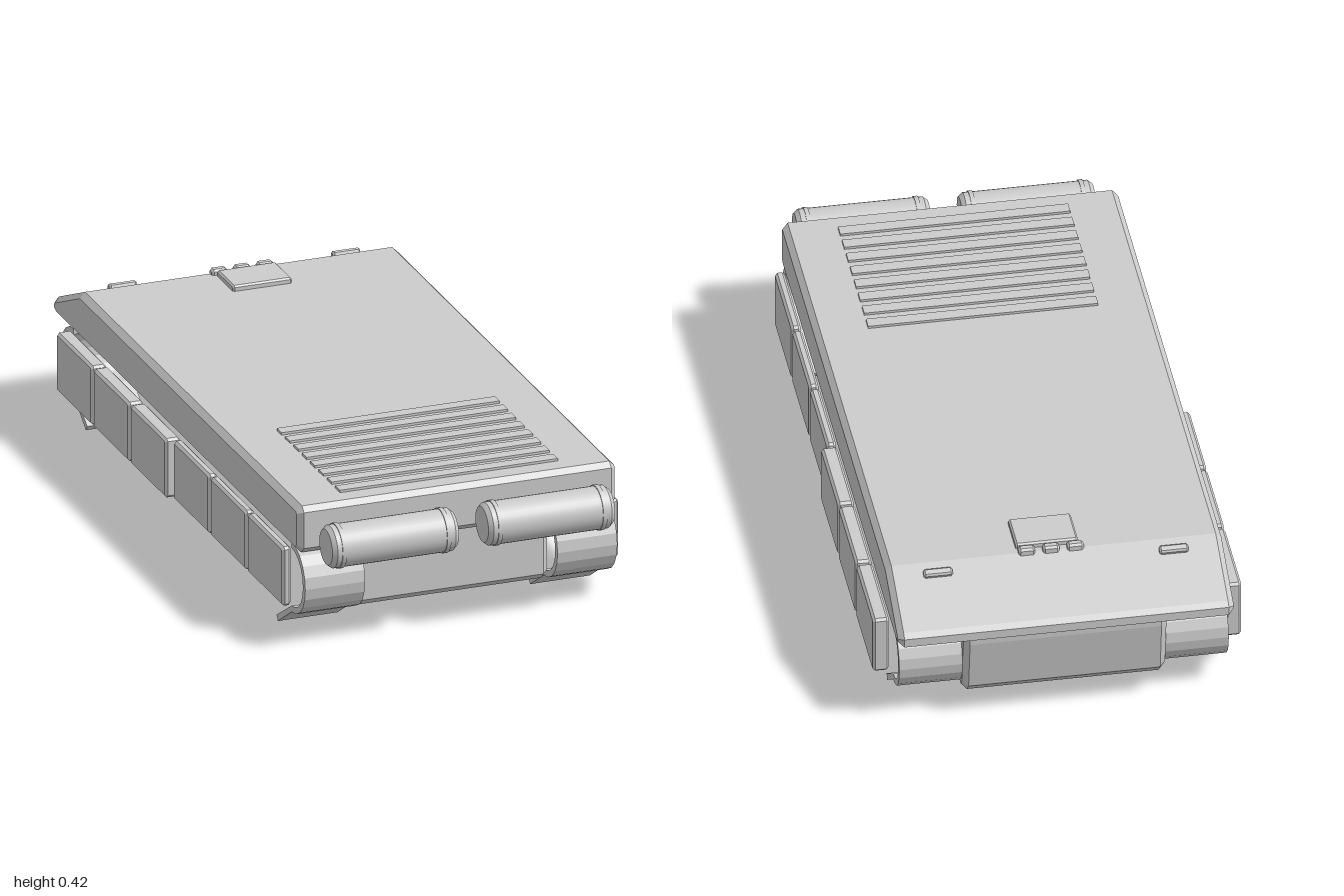
import * as THREE from 'three';

const material = new THREE.MeshStandardMaterial({ color: 0xcccccc, flatShading: true });
const smooth = new THREE.MeshStandardMaterial({ color: 0xcccccc });

function add(parent, name, geometry, x = 0, y = 0, z = 0, mat = material) {
  const mesh = new THREE.Mesh(geometry, mat);
  mesh.name = name;
  mesh.position.set(x, y, z);
  parent.add(mesh);
  return mesh;
}

// Side profile given as [z, y] points, extruded across x with chamfered sides
function sideExtrude(points, width, bevel) {
  const shape = new THREE.Shape(points.map(([z, y]) => new THREE.Vector2(-z, y)));
  const geometry = new THREE.ExtrudeGeometry(shape, {
    depth: width - 2 * bevel, bevelEnabled: bevel > 0, bevelThickness: bevel,
    bevelSize: bevel, bevelOffset: -bevel, bevelSegments: 1,
  });
  geometry.translate(0, 0, bevel - width / 2);
  return geometry.rotateY(Math.PI / 2);
}

// Box with chamfered edges, facing along x
function chamferBox(w, h, d, bevel) {
  const a = d / 2, b = h / 2, c = bevel;
  return sideExtrude([
    [a - c, -b], [a, -b + c], [a, b - c], [a - c, b],
    [-a + c, b], [-a, b - c], [-a, -b + c], [-a + c, -b],
  ], w, bevel);
}

// Curved guard: half ring around (cz, cy) ending in a slanted flap
function guardProfile(cz, cy, radius, thickness, dir, flapEnd) {
  const outer = [], inner = [];
  const segments = 10;
  for (let i = 0; i <= segments; i++) {
    const a = Math.PI / 2 - (i / segments) * Math.PI;
    for (const [list, r] of [[outer, radius], [inner, radius - thickness]]) {
      list.push([cz + dir * r * Math.cos(a), cy + r * Math.sin(a)]);
    }
  }
  const start = outer[segments];
  const dz = flapEnd[0] - start[0], dy = flapEnd[1] - start[1];
  const length = Math.hypot(dz, dy);
  const nz = (-dir * -dy / length) * -thickness * -1, ny = Math.abs(dz / length) * thickness;
  outer.push(flapEnd);
  inner.push([flapEnd[0] - Math.abs(nz) * dir, flapEnd[1] + ny]);
  const profile = outer.concat(inner.reverse());
  return dir > 0 ? profile : profile.reverse();
}

export function createModel() {
  const model = new THREE.Group();
  model.name = 'trackedHull';

  // Hull: wide upper deck with sloped nose, narrow lower tub
  add(model, 'upperHull', sideExtrude([
    [0.85, 0.4], [0.865, 0.385], [0.865, 0.28], [0.845, 0.262],
    [-0.97, 0.262], [-1, 0.275], [-1, 0.3], [-0.985, 0.312], [-0.79, 0.4],
  ], 0.926, 0.016));
  add(model, 'lowerHull', sideExtrude([
    [0.83, 0.268], [0.83, 0.088], [0.812, 0.07],
    [-0.935, 0.07], [-0.962, 0.098], [-0.985, 0.25], [-0.985, 0.268],
  ], 0.56, 0.016));

  for (const side of [-1, 1]) {
    // Curved track guards with flaps
    const guards = [
      ['rearGuard', guardProfile(0.79, 0.17, 0.103, 0.018, 1, [0.685, 0.0])],
      ['frontGuard', guardProfile(-0.86, 0.17, 0.097, 0.018, -1, [-0.765, 0.005])],
    ];
    for (const [name, profile] of guards) {
      add(model, name, sideExtrude(profile, 0.174, 0), side * 0.367);
    }

    // Side skirts: three thick panels forward, three thin panels aft
    for (let i = 0; i < 6; i++) {
      const thickness = i < 3 ? 0.045 : 0.027;
      add(model, 'skirtPanel', chamferBox(thickness, 0.173, 0.268, 0.007),
        side * (0.463 + thickness / 2), 0.182, -0.716 + i * 0.279);
    }

    // Fuel drum with chamfered ends and two straps
    const drum = new THREE.Group();
    drum.name = 'fuelDrum';
    drum.position.set(side * 0.227, 0.307, 0.937);
    drum.rotation.z = Math.PI / 2;
    model.add(drum);
    const h = 0.184;
    const ends = [[0, -h], [0.05, -h], [0.06, -h + 0.012], [0.06, h - 0.012], [0.05, h], [0, h]];
    for (let i = 0; i < ends.length - 1; i++) {
      const pair = ends.slice(i, i + 2).map(([r, y]) => new THREE.Vector2(r, y));
      add(drum, 'drumShell', new THREE.LatheGeometry(pair, 32), 0, 0, 0, smooth);
    }
    for (const y of [-0.152, 0.152]) {
      add(drum, 'drumStrap', new THREE.CylinderGeometry(0.063, 0.063, 0.012, 32), 0, y, 0, smooth);
    }

    // Nose lamps
    const lamp = add(model, 'noseLamp', chamferBox(0.08, 0.022, 0.024, 0.005),
      side * 0.325, 0.386, -0.825);
    lamp.rotation.x = -0.42;
  }

  // Engine deck louvres
  for (let i = 0; i < 8; i++) {
    add(model, 'louvre', new THREE.BoxGeometry(0.634, 0.016, 0.036), 0, 0.399, 0.34 + i * 0.063);
  }

  // Driver hatch and periscopes
  add(model, 'driverHatch', chamferBox(0.172, 0.022, 0.124, 0.005), 0.015, 0.405, -0.709);
  for (let i = 0; i < 3; i++) {
    add(model, 'periscope', chamferBox(0.046, 0.035, 0.026, 0.006), -0.06 + i * 0.067, 0.398, -0.786);
  }
  return model;
}
